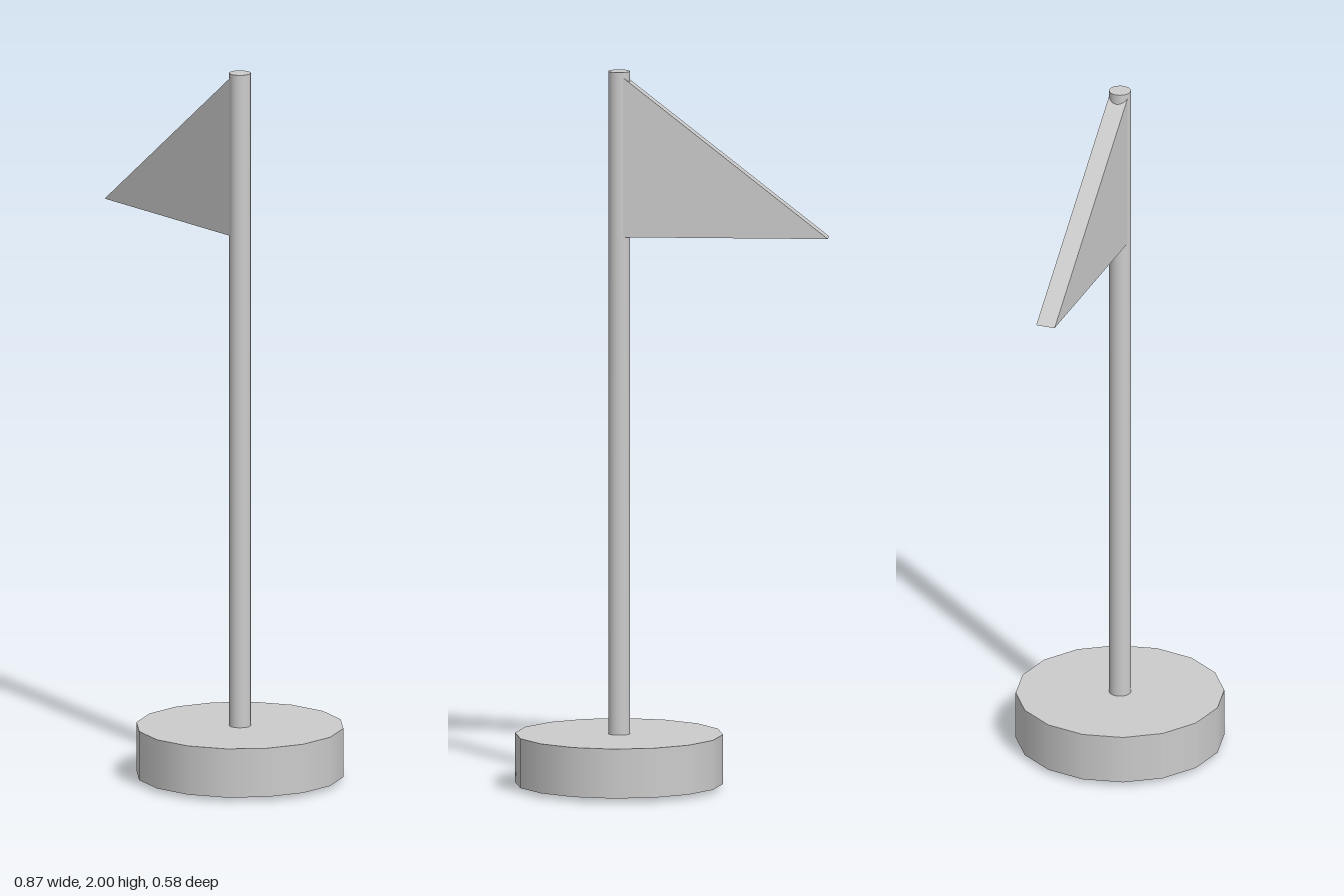
import * as THREE from 'three';

const POLE_X = 0.145;

export function createModel() {
  const group = new THREE.Group();
  const material = new THREE.MeshStandardMaterial({ color: 0xcccccc });

  const add = (name, geometry, x, y, z) => {
    const mesh = new THREE.Mesh(geometry, material);
    mesh.name = name;
    mesh.position.set(x, y, z);
    group.add(mesh);
  };

  // Sixteen-sided foot, raised slightly so the pole pokes out below
  add('base', new THREE.CylinderGeometry(0.288, 0.288, 0.138, 16), POLE_X, 0.081, 0);

  // Pole running right through the base
  add('pole', new THREE.CylinderGeometry(0.03, 0.03, 2, 32), POLE_X, 1, 0);

  // Thick triangular pennant, its upright edge buried in the pole
  const pennant = new THREE.Shape([
    new THREE.Vector2(-0.434, 1.54),
    new THREE.Vector2(POLE_X, 1.54),
    new THREE.Vector2(POLE_X, 1.995),
  ]);
  const thickness = 0.054;
  add('flag', new THREE.ExtrudeGeometry(pennant, { depth: thickness, bevelEnabled: false }), 0, 0, -thickness / 2);

  return group;
}
